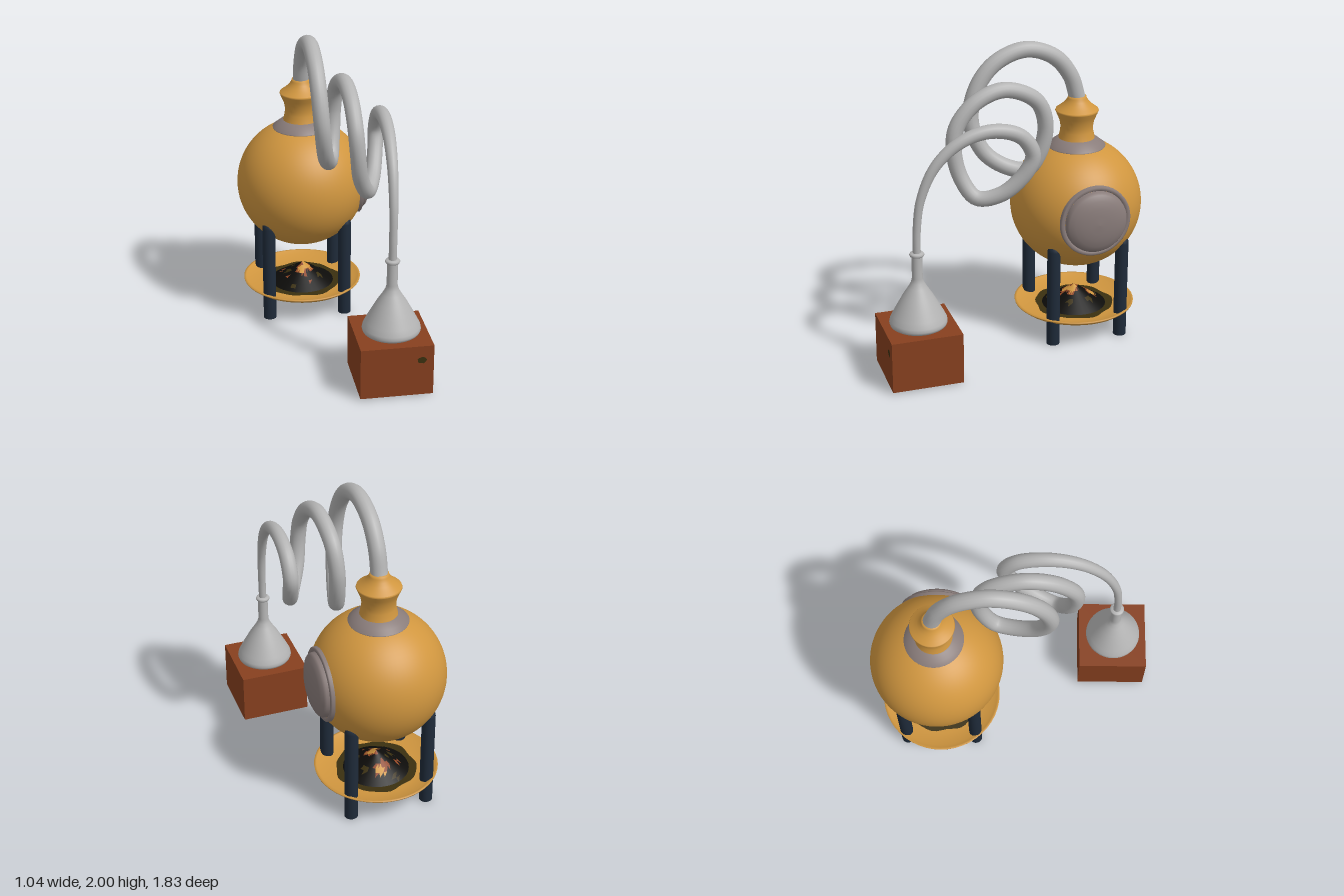
import * as THREE from 'three';

const mat = (name, color, side = THREE.FrontSide) => {
  const m = new THREE.MeshStandardMaterial({ color, side });
  m.name = name;
  return m;
};

export function createModel() {
  const root = new THREE.Group();
  const copper = mat('copper', 0xd0963f, THREE.DoubleSide);
  const pewter = mat('pewter', 0x897c7a, THREE.DoubleSide);
  const silver = mat('silver', 0xb4b4b4, THREE.DoubleSide);
  const iron = mat('dark iron', 0x1f2b3a);
  const brick = mat('brick', 0x87401f);
  const coal = mat('coal', 0x0d0c0a, THREE.DoubleSide);
  const ember = mat('ember', 0x8f4524, THREE.DoubleSide);
  const ash = mat('olive ash', 0x3b3010, THREE.DoubleSide);

  const add = (parent, name, geo, material, x = 0, y = 0, z = 0) => {
    const mesh = new THREE.Mesh(geo, material);
    mesh.name = name;
    mesh.position.set(x, y, z);
    parent.add(mesh);
    return mesh;
  };
  const lathe = (pts, n = 48) =>
    new THREE.LatheGeometry(pts.map(([r, y]) => new THREE.Vector2(r, y)), n);
  // Irregular flat blot
  const blot = (rx, ry, wobble, n = 28) => {
    const s = new THREE.Shape();
    for (let i = 0; i < n; i++) {
      const a = (i / n) * Math.PI * 2;
      const k = 1 + wobble * (Math.sin(5 * a + 1) + Math.sin(9 * a) * 0.7);
      s[i ? 'lineTo' : 'moveTo'](Math.cos(a) * rx * k, Math.sin(a) * ry * k);
    }
    return new THREE.ShapeGeometry(s);
  };

  // Boiler on its stand
  const still = new THREE.Group();
  still.name = 'still';
  still.position.set(-0.09, 0, -0.485);
  root.add(still);
  add(still, 'boiler', new THREE.SphereGeometry(0.43, 64, 40), copper, 0, 0.89, 0);
  add(still, 'collar', lathe([[0.186, 1.275], [0.188, 1.283], [0.16, 1.305], [0.125, 1.332], [0.1, 1.335]]), pewter);
  add(still, 'neck', lathe([[0.13, 1.3], [0.117, 1.335], [0.107, 1.38], [0.105, 1.41], [0.112, 1.45],
    [0.124, 1.48], [0.133, 1.5], [0.138, 1.512]]), copper);
  add(still, 'neckRim', lathe([[0.12, 1.505], [0.136, 1.508], [0.14, 1.516], [0.136, 1.524], [0.12, 1.526]]), copper);
  add(still, 'cap', lathe([[0.137, 1.524], [0.115, 1.54], [0.09, 1.56], [0.073, 1.58], [0.062, 1.598],
    [0.058, 1.612], [0.04, 1.614]]), copper);

  // Round hatch on the model's left
  const hatch = new THREE.Group();
  hatch.name = 'hatch';
  hatch.position.set(0, 0.89, 0);
  hatch.rotation.z = -Math.PI / 2;
  still.add(hatch);
  add(hatch, 'hatchRim', lathe([[0.236, 0.35], [0.236, 0.379], [0.228, 0.386], [0.212, 0.386], [0.205, 0.376],
    [0.205, 0.36]]), pewter);
  add(hatch, 'hatchDoor', lathe([[0.206, 0.375], [0.202, 0.402], [0.19, 0.417], [0.155, 0.434], [0.11, 0.446],
    [0.06, 0.453], [0, 0.456]]), pewter);

  // Four legs
  for (const sx of [-1, 1]) for (const sz of [-1, 1]) {
    add(still, 'leg', lathe([[0, 0], [0.043, 0], [0.043, 0.66], [0.04, 0.68], [0.03, 0.697], [0, 0.705]].map(
      ([r, y]) => [r, y]), 20), iron, 0.255 * sx, 0, 0.235 * sz);
  }

  // Fire dish
  add(still, 'dish', lathe([[0, 0.1], [0.1, 0.104], [0.2, 0.117], [0.3, 0.137], [0.375, 0.158], [0.398, 0.176],
    [0.4, 0.185], [0.385, 0.186], [0.362, 0.166], [0.27, 0.145], [0, 0.13]]), copper);
  const ashBed = add(still, 'ashBed', blot(0.26, 0.26, 0.03, 48), ash, 0, 0.151, 0);
  ashBed.rotation.x = -Math.PI / 2;

  // Coal heap with patches of ember and flame
  const cols = 32, rows = 8;
  const heap = new THREE.ConeGeometry(0.215, 0.135, cols, rows, true);
  heap.clearGroups();
  const corner = heap.index.array, hp = heap.attributes.position;
  for (let t = 0; t < corner.length; t += 3) {
    let x = 0, z = 0;
    for (let k = 0; k < 3; k++) {
      x += hp.getX(corner[t + k]) / 3;
      z += hp.getZ(corner[t + k]) / 3;
    }
    const v = Math.sin(x * 34 + 1.2) + Math.sin(z * 41 + x * 16) + 0.5 * Math.sin(x * 70 - z * 55);
    const inner = Math.hypot(x, z) < 0.15;
    heap.addGroup(t, 3, inner && v > 1.35 ? 2 : inner && v > 0.6 ? 1 : v < -1.7 ? 3 : 0);
  }
  add(still, 'coalHeap', heap, [coal, ember, copper, ash], 0, 0.2175, 0);

  // Receiving box with a small stain
  add(root, 'box', new THREE.BoxGeometry(0.455, 0.335, 0.455), brick, 0.29, 0.1775, 0.688);
  add(root, 'boxStain', blot(0.028, 0.022, 0.06), ash, 0.443, 0.25, 0.917);

  // Funnel flask
  add(root, 'flask', lathe([[0, 0.346], [0.165, 0.346], [0.178, 0.355], [0.183, 0.37], [0.179, 0.39], [0.162, 0.425],
    [0.13, 0.485], [0.095, 0.548], [0.06, 0.603], [0.042, 0.635], [0.034, 0.665], [0.033, 0.81]]), silver, 0.295, 0, 0.69);
  add(root, 'flaskLip', lathe([[0.03, 0.81], [0.042, 0.813], [0.047, 0.823], [0.042, 0.833], [0.024, 0.836]]), silver, 0.295, 0, 0.69);

  // Coiled pipe, narrowing to the flask: x, y, z
  const path = [
    [-0.09, 1.6, -0.485], [-0.09, 1.75, -0.437], [-0.088, 1.885, -0.325], [-0.083, 1.95, -0.135],
    [-0.08, 1.885, 0.06], [-0.075, 1.74, 0.185], [-0.062, 1.53, 0.235], [-0.03, 1.32, 0.16],
    [0.015, 1.215, 0.01], [0.047, 1.205, -0.105], [0.067, 1.315, -0.18], [0.08, 1.5, -0.213],
    [0.09, 1.665, -0.15], [0.103, 1.76, 0.06], [0.113, 1.705, 0.245], [0.12, 1.56, 0.375],
    [0.13, 1.42, 0.4], [0.155, 1.24, 0.365], [0.215, 1.115, 0.28], [0.275, 1.15, 0.13],
    [0.318, 1.3, -0.015], [0.325, 1.405, -0.05], [0.325, 1.53, 0.03], [0.322, 1.58, 0.21],
    [0.318, 1.53, 0.405], [0.31, 1.39, 0.565], [0.302, 1.18, 0.66], [0.297, 0.97, 0.688], [0.295, 0.82, 0.69],
  ].map((p) => new THREE.Vector3(...p));
  const curve = new THREE.CatmullRomCurve3(path);
  const seg = 220, sides = 16;
  const pipe = new THREE.TubeGeometry(curve, seg, 0.053, sides);
  const pos = pipe.attributes.position, p = new THREE.Vector3(), c = new THREE.Vector3();
  for (let i = 0; i <= seg; i++) {
    curve.getPointAt(i / seg, c);
    const k = 1 - 0.1 * (i / seg) - 0.43 * THREE.MathUtils.smoothstep(i / seg, 0.74, 0.98);
    for (let j = 0; j <= sides; j++) {
      const n = i * (sides + 1) + j;
      p.fromBufferAttribute(pos, n).sub(c).multiplyScalar(k).add(c);
      pos.setXYZ(n, p.x, p.y, p.z);
    }
  }
  add(root, 'coiledPipe', pipe, silver);
  return root;
}
